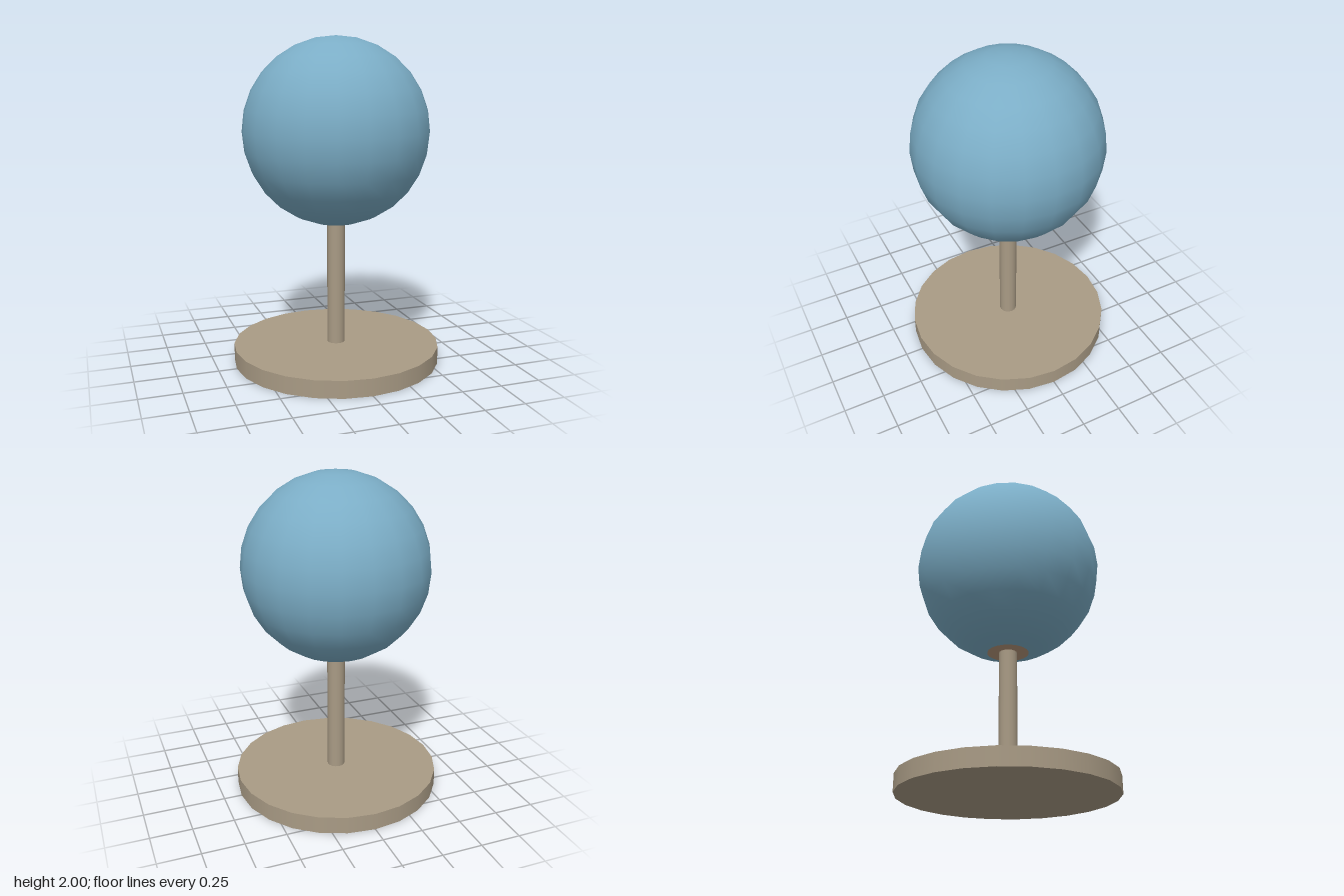
import * as THREE from 'three';

export function createModel() {
  const group = new THREE.Group();
  const wood = new THREE.MeshStandardMaterial({ color: 0xa99b85 });
  wood.name = 'taupe';
  const blue = new THREE.MeshStandardMaterial({ color: 0x7badc6 });
  blue.name = 'soft blue';
  const brown = new THREE.MeshStandardMaterial({ color: 0xb8967a });
  brown.name = 'warm brown';

  const add = (name, geometry, material, y) => {
    const mesh = new THREE.Mesh(geometry, material);
    mesh.name = name;
    mesh.position.y = y;
    group.add(mesh);
    return mesh;
  };

  // Round foot and thin post
  add('base', new THREE.CylinderGeometry(0.64, 0.64, 0.105, 24), wood, 0.0525);
  add('post', new THREE.CylinderGeometry(0.055, 0.055, 0.79, 16), wood, 0.49);

  // Ball, left open over the last row at the bottom
  const rows = 14, radius = 0.57, cut = Math.PI * (rows - 1) / rows;
  add('ball', new THREE.SphereGeometry(radius, 20, rows - 1, 0, Math.PI * 2, 0, cut), blue, 1.43);

  // Flat plate closing the ball around the post
  const plate = add('ballUnderside', new THREE.CircleGeometry(radius * Math.sin(cut), 20),
    brown, 1.43 + radius * Math.cos(cut));
  plate.rotation.x = Math.PI / 2;

  return group;
}
